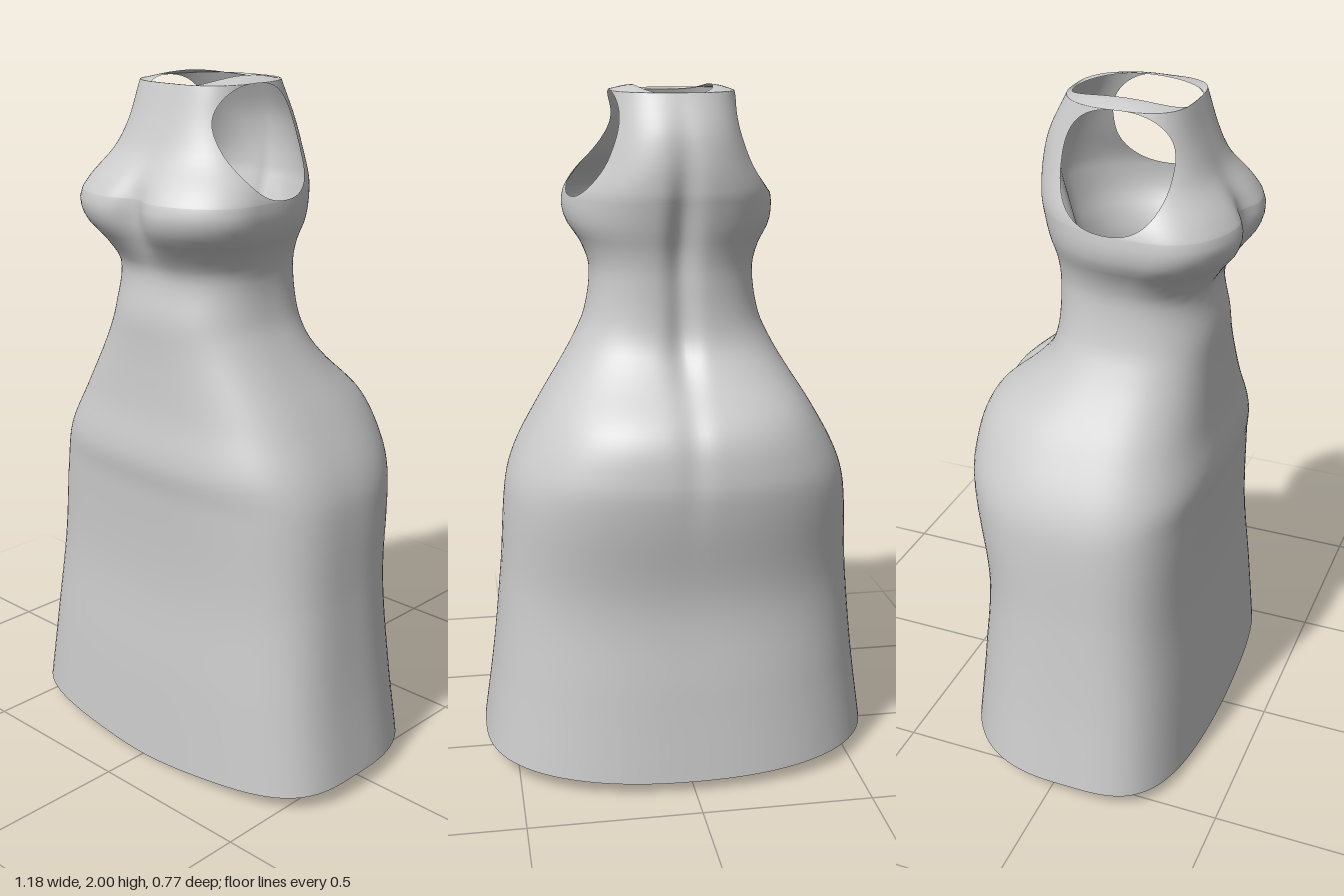
import * as THREE from 'three';
import { mergeVertices } from 'three/addons/utils/BufferGeometryUtils.js';

// Body sections: height, half width, front z, back z, z of widest point, front squareness
const SECTIONS = [
  [0.05, 0.59, 0.36, -0.385, 0.045, 3.6],
  [0.30, 0.555, 0.345, -0.36, 0.04, 3.5],
  [0.57, 0.527, 0.327, -0.34, 0.03, 3.3],
  [0.85, 0.505, 0.335, -0.385, 0.02, 3.0],
  [0.95, 0.475, 0.345, -0.39, 0.02, 2.9],
  [1.08, 0.405, 0.325, -0.352, 0.03, 2.8],
  [1.20, 0.33, 0.315, -0.225, 0.05, 2.7],
  [1.27, 0.29, 0.312, -0.168, 0.06, 2.6],
  [1.35, 0.255, 0.31, -0.147, 0.07, 2.5],
  [1.48, 0.238, 0.292, -0.145, 0.09, 2.4],
  [1.55, 0.26, 0.335, -0.155, 0.13, 2.3],
  [1.61, 0.298, 0.38, -0.172, 0.18, 2.3],
  [1.67, 0.306, 0.392, -0.187, 0.2, 2.3],
  [1.72, 0.29, 0.365, -0.197, 0.18, 2.3],
  [1.80, 0.24, 0.295, -0.198, 0.13, 2.4],
  [1.88, 0.203, 0.258, -0.182, 0.09, 2.7],
  [1.985, 0.175, 0.222, -0.13, 0.06, 3.2],
];
const BACK_POWER = 2.5;
const HOLE = { z: 0.065, y: 1.8375, rz: 0.155, ry: 0.1475, power: 2.4 };
const NECK = [0, 0.11, 0.22, -0.125, 0.05, 3.6];

// Smooth interpolation of the section table
function sectionAt(y) {
  const S = SECTIONS, n = S.length;
  y = Math.min(Math.max(y, S[0][0]), S[n - 1][0]);
  let i = 0;
  while (i < n - 2 && y > S[i + 1][0]) i++;
  const h = S[i + 1][0] - S[i][0], t = (y - S[i][0]) / h;
  const slope = (k, c) => {
    const a = S[Math.max(k - 1, 0)], b = S[Math.min(k + 1, n - 1)];
    return (b[c] - a[c]) / (b[0] - a[0]);
  };
  return S[i].map((p, c) => {
    const q = S[i + 1][c], t2 = t * t, t3 = t2 * t;
    return (2 * t3 - 3 * t2 + 1) * p + (t3 - 2 * t2 + t) * h * slope(i, c)
      + (3 * t2 - 2 * t3) * q + (t3 - t2) * h * slope(i + 1, c);
  });
}

// Point on a section's rounded-square outline at a polar angle
function outline([, w, zf, zb, zc, power], a) {
  const c = Math.cos(a), s = Math.sin(a);
  const n = s > 0 ? power : BACK_POWER, d = s > 0 ? zf - zc : zc - zb;
  const r = Math.pow(Math.pow(Math.abs(c) / w, n) + Math.pow(Math.abs(s) / d, n), -1 / n);
  return [r * c, zc + r * s];
}

// Angle on the left side where the outline reaches a given z
function angleAtZ(section, z) {
  let lo = -Math.PI / 2, hi = Math.PI / 2;
  for (let k = 0; k < 40; k++) {
    const mid = (lo + hi) / 2;
    if (outline(section, mid)[1] < z) lo = mid; else hi = mid;
  }
  return (lo + hi) / 2;
}

const bell = (v, centre, width) => Math.exp(-(((v - centre) / width) ** 2));

// Outline point with the centre grooves of the bust, spine and seat
function bodyPoint(y, a) {
  let [x, z] = outline(sectionAt(y), a);
  if (Math.sin(a) > 0) {
    z -= 0.045 * bell(y, 1.65, 0.1) * bell(x, 0, 0.06);
  } else {
    const depth = 0.03 * bell(y, 1.6, 0.22) + 0.025 * bell(y, 1.25, 0.15) + 0.008 * bell(y, 1, 0.15);
    z += depth * bell(x, 0, 0.04);
  }
  return [x, y, z];
}

// Rows from hem to neck; each has the front and back edge z of the armhole
function makeRows() {
  const rows = [], bottom = HOLE.y - HOLE.ry, skirtRows = 72, holeRows = 28, capRows = 5;
  for (let i = 0; i < skirtRows; i++) {
    const v = i / skirtRows;
    rows.push({ y: 0.055 + (bottom - 0.055) * v, half: 0, hem: (1 - v) ** 4, cap: 0 });
  }
  for (let i = 0; i <= holeRows; i++) {
    const t = Math.PI * i / holeRows, e = 2 / HOLE.power, c = Math.cos(t);
    const half = i % holeRows ? HOLE.rz * Math.pow(Math.sin(t), e) : 0;
    rows.push({ y: HOLE.y - HOLE.ry * Math.sign(c) * Math.pow(Math.abs(c), e), half, hem: 0, cap: 0 });
  }
  for (let i = 1; i <= capRows; i++) rows.push({ y: HOLE.y + HOLE.ry, half: 0, hem: 0, cap: i / capRows });
  return rows;
}

function rowPoint(row, a) {
  const s = Math.sin(a);
  // Hem dips at the front centre and slightly at the back
  const dip = row.hem * (s > 0 ? 0.052 : 0.018) * s * s;
  const p = bodyPoint(row.y, a);
  p[1] -= dip;
  if (row.cap) {
    // Shoulder straps roll inward to the neck opening
    const [nx, nz] = outline(NECK, a), k = row.cap;
    p[0] += (nx - p[0]) * k;
    p[2] += (nz - p[2]) * k;
    const top = 2 - 0.022 * ((p[2] - 0.045) / 0.175) ** 2;
    p[1] += (top - p[1]) * Math.sin(k * Math.PI / 2);
  }
  return p;
}

// Front and back panels share a side seam that opens up into the armholes
function garmentGeometry() {
  const rows = makeRows(), cols = 72, positions = [], index = [];
  for (const front of [true, false]) {
    const base = positions.length / 3;
    for (const row of rows) {
      const edge = angleAtZ(sectionAt(row.y), HOLE.z + (front ? row.half : -row.half));
      const start = front ? edge : Math.PI - edge;
      const end = front ? Math.PI - edge : 2 * Math.PI + edge;
      for (let j = 0; j <= cols; j++) positions.push(...rowPoint(row, start + (end - start) * j / cols));
    }
    for (let i = 0; i < rows.length - 1; i++) {
      for (let j = 0; j < cols; j++) {
        const a = base + i * (cols + 1) + j, b = a + 1, c = a + cols + 1, d = c + 1;
        index.push(a, c, b, b, c, d);
      }
    }
  }
  let geometry = new THREE.BufferGeometry();
  geometry.setAttribute('position', new THREE.Float32BufferAttribute(positions, 3));
  geometry.setIndex(index);
  geometry = mergeVertices(geometry, 1e-4);
  geometry.computeVertexNormals();
  return geometry;
}

export function createModel() {
  const group = new THREE.Group();
  group.name = 'sleevelessDress';
  const fabric = new THREE.MeshStandardMaterial({ color: 0xcccccc, side: THREE.DoubleSide });
  const dress = new THREE.Mesh(garmentGeometry(), fabric);
  dress.name = 'dressShell';
  group.add(dress);
  return group;
}
